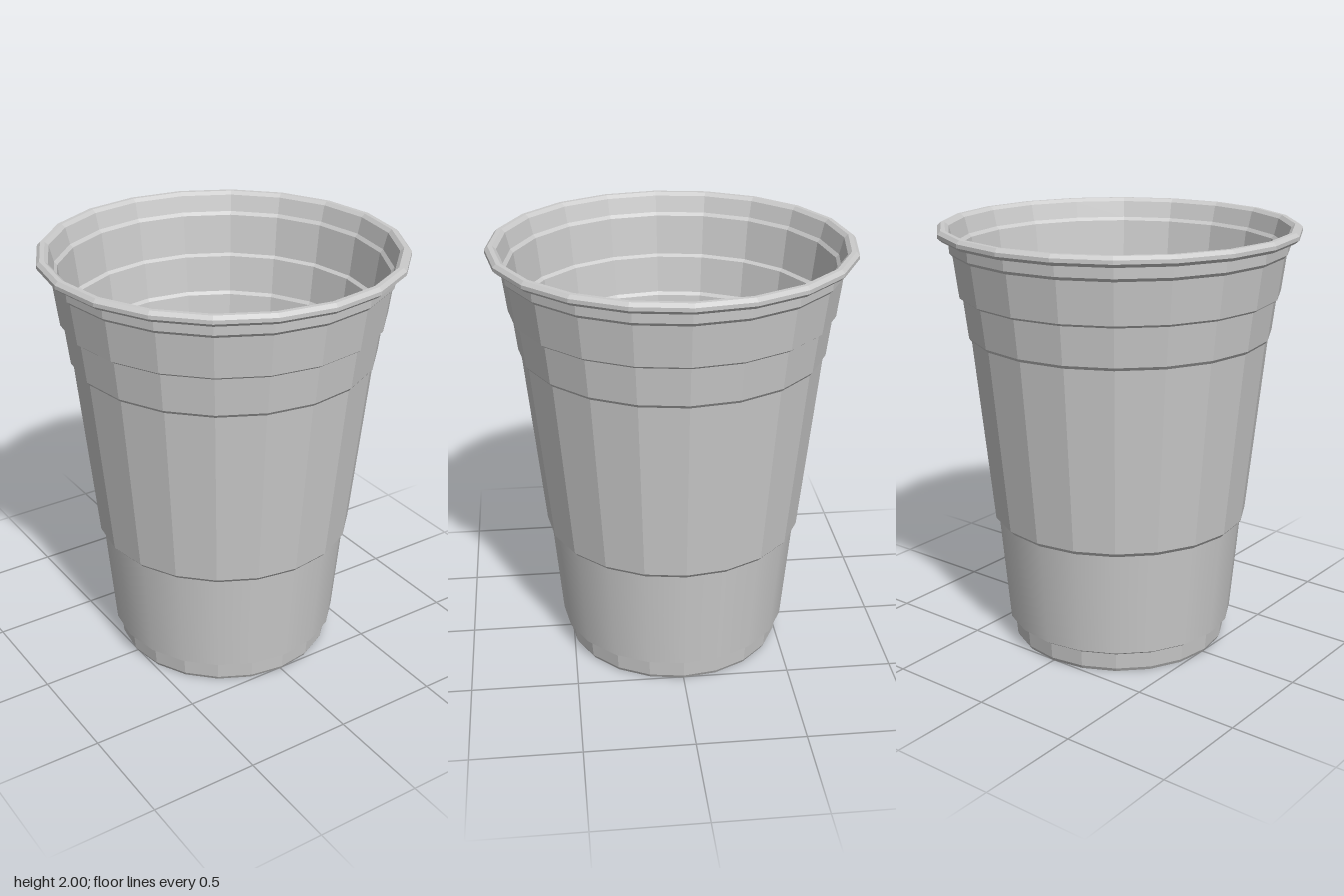
import * as THREE from 'three';

const SIDES = 20;
const WALL = 0.022;

// Revolves a profile of [radius, height] pairs; bottom-to-top faces outward.
function lathe(name, profile, flat = true) {
  const points = profile.map(([r, y]) => new THREE.Vector2(r, y));
  let geometry = new THREE.LatheGeometry(points, SIDES);
  if (flat) {
    geometry = geometry.toNonIndexed();
    geometry.computeVertexNormals();
  }
  const material = new THREE.MeshStandardMaterial({ color: 0xcccccc, flatShading: flat });
  const mesh = new THREE.Mesh(geometry, material);
  mesh.name = name;
  return mesh;
}

export function createModel() {
  const cup = new THREE.Group();
  cup.name = 'cup';

  // Stepped outer wall: foot, grip band, then the flared upper bands
  const foot = [[0.505, 0], [0.515, 0.018], [0.522, 0.095], [0.544, 0.11]];
  const grip = [[0.544, 0.11], [0.588, 0.61]];
  const upper = [
    [0.588, 0.61], [0.606, 0.63],
    [0.693, 1.495], [0.705, 1.51],
    [0.726, 1.685], [0.742, 1.697],
    [0.766, 1.885], [0.78, 1.9],
    [0.783, 1.955],
  ];

  // Rolled rim over the top edge
  const rim = [
    [0.783, 1.955], [0.812, 1.952], [0.83, 1.968], [0.83, 1.985],
    [0.815, 2], [0.795, 2], [0.778, 1.985],
  ];

  // Inner wall follows the outer steps, offset by the wall thickness
  const inner = [...foot.slice(1), ...upper.slice(0, -1)]
    .map(([r, y]) => [r - WALL, y + 0.008])
    .reverse();

  // Slightly recessed underside
  const base = [[0, 0.012], [0.13, 0.012], [0.27, 0.006], [0.505, 0]];
  const floor = [[0.515 - WALL, 0.026], [0, 0.026]];

  cup.add(
    lathe('base', base),
    lathe('foot', foot),
    lathe('gripBand', grip, false),
    lathe('upperWall', upper),
    lathe('rim', rim),
    lathe('innerWall', [[0.778, 1.985], ...inner]),
    lathe('floor', floor),
  );
  return cup;
}
